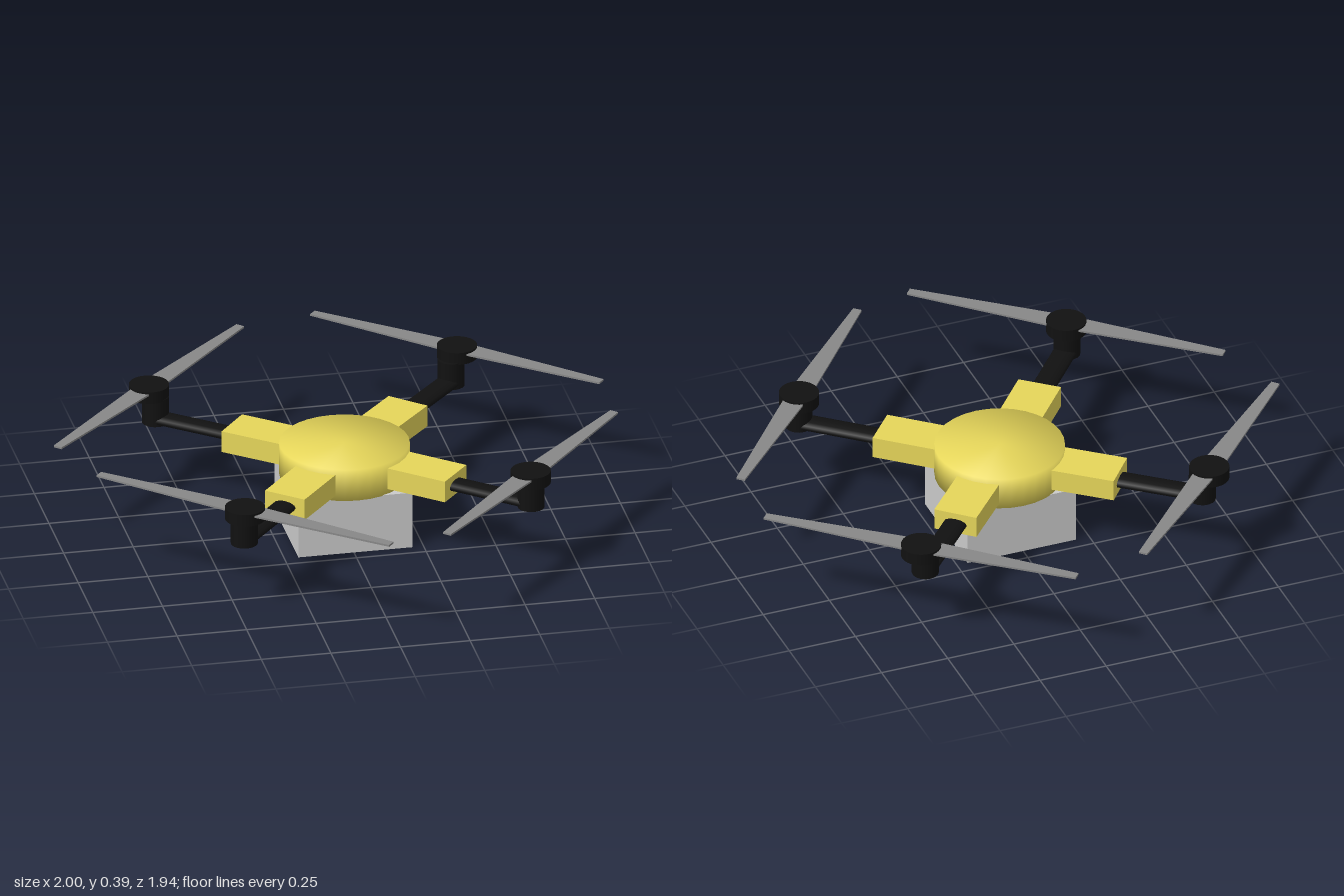
import * as THREE from 'three';
import { mergeVertices } from 'three/addons/utils/BufferGeometryUtils.js';

const yellow = new THREE.MeshStandardMaterial({ color: 0xe6d65a });
const black = new THREE.MeshStandardMaterial({ color: 0x111111 });
const bladeGrey = new THREE.MeshStandardMaterial({ color: 0x888888 });
const grey = new THREE.MeshStandardMaterial({ color: 0xcccccc });

function add(parent, name, geometry, material, x, y, z) {
  const mesh = new THREE.Mesh(geometry, material);
  mesh.name = name;
  mesh.position.set(x, y, z);
  parent.add(mesh);
  return mesh;
}

// Drum with normals shared between caps and side
function softDrum(radius, height) {
  const g = new THREE.CylinderGeometry(radius, radius, height, 32);
  g.deleteAttribute('normal');
  g.deleteAttribute('uv');
  const merged = mergeVertices(g);
  merged.computeVertexNormals();
  return merged;
}

// Two-bladed propeller, wide at the hub and tapering to square tips
function propellerGeometry(halfLength) {
  const tip = 0.016, root = 0.038, inner = 0.06;
  const shape = new THREE.Shape([
    [-halfLength, -tip], [-inner, -root], [inner, -root], [halfLength, -tip],
    [halfLength, tip], [inner, root], [-inner, root], [-halfLength, tip],
  ].map(([x, y]) => new THREE.Vector2(x, y)));
  const g = new THREE.ExtrudeGeometry(shape, { depth: 0.007, bevelEnabled: false });
  return g.rotateX(-Math.PI / 2);
}

const CENTER = new THREE.Vector2(0.01, -0.005);

// arm: heading in degrees from +x toward +z; hub: rotor centre; spin: blade heading
const ROTORS = [
  { name: 'frontLeft', arm: 40.5, hub: [0.577, 0.479], spin: 132.2, half: 0.582 },
  { name: 'frontRight', arm: 130, hub: [-0.467, 0.566], spin: 41.1, half: 0.589 },
  { name: 'backRight', arm: 219, hub: [-0.59, -0.492], spin: 134.6, half: 0.594 },
  { name: 'backLeft', arm: 312, hub: [0.536, -0.586], spin: 40.9, half: 0.581 },
];

export function createModel() {
  const model = new THREE.Group();
  model.name = 'quadcopter';

  // Central body and cargo box
  add(model, 'body', softDrum(0.23, 0.12), yellow, CENTER.x, 0.27, CENTER.y);
  add(model, 'cargoBox', new THREE.BoxGeometry(0.41, 0.212, 0.41), grey, 0.005, 0.106, 0);

  for (const r of ROTORS) {
    // Arm: square socket, flattened tube and motor
    const arm = new THREE.Group();
    arm.name = r.name + 'Arm';
    arm.position.set(CENTER.x, 0, CENTER.y);
    arm.rotation.y = -THREE.MathUtils.degToRad(r.arm);
    add(arm, 'armSocket', new THREE.BoxGeometry(0.345, 0.08, 0.158), yellow, 0.2725, 0.27, 0);
    const tube = new THREE.CylinderGeometry(0.043, 0.043, 0.37, 12).rotateZ(Math.PI / 2);
    add(arm, 'armTube', tube, black, 0.56, 0.268, 0).scale.y = 0.45;
    add(arm, 'motor', new THREE.CylinderGeometry(0.048, 0.048, 0.1, 16), black, 0.747, 0.3, 0);
    model.add(arm);

    // Rotor: hub cap and propeller
    const rotor = new THREE.Group();
    rotor.name = r.name + 'Rotor';
    rotor.position.set(r.hub[0], 0, r.hub[1]);
    rotor.rotation.y = -THREE.MathUtils.degToRad(r.spin);
    add(rotor, 'hub', new THREE.CylinderGeometry(0.071, 0.071, 0.045, 32), black, 0, 0.3675, 0);
    add(rotor, 'propeller', propellerGeometry(r.half), bladeGrey, 0, 0.376, 0);
    model.add(rotor);
  }
  return model;
}
